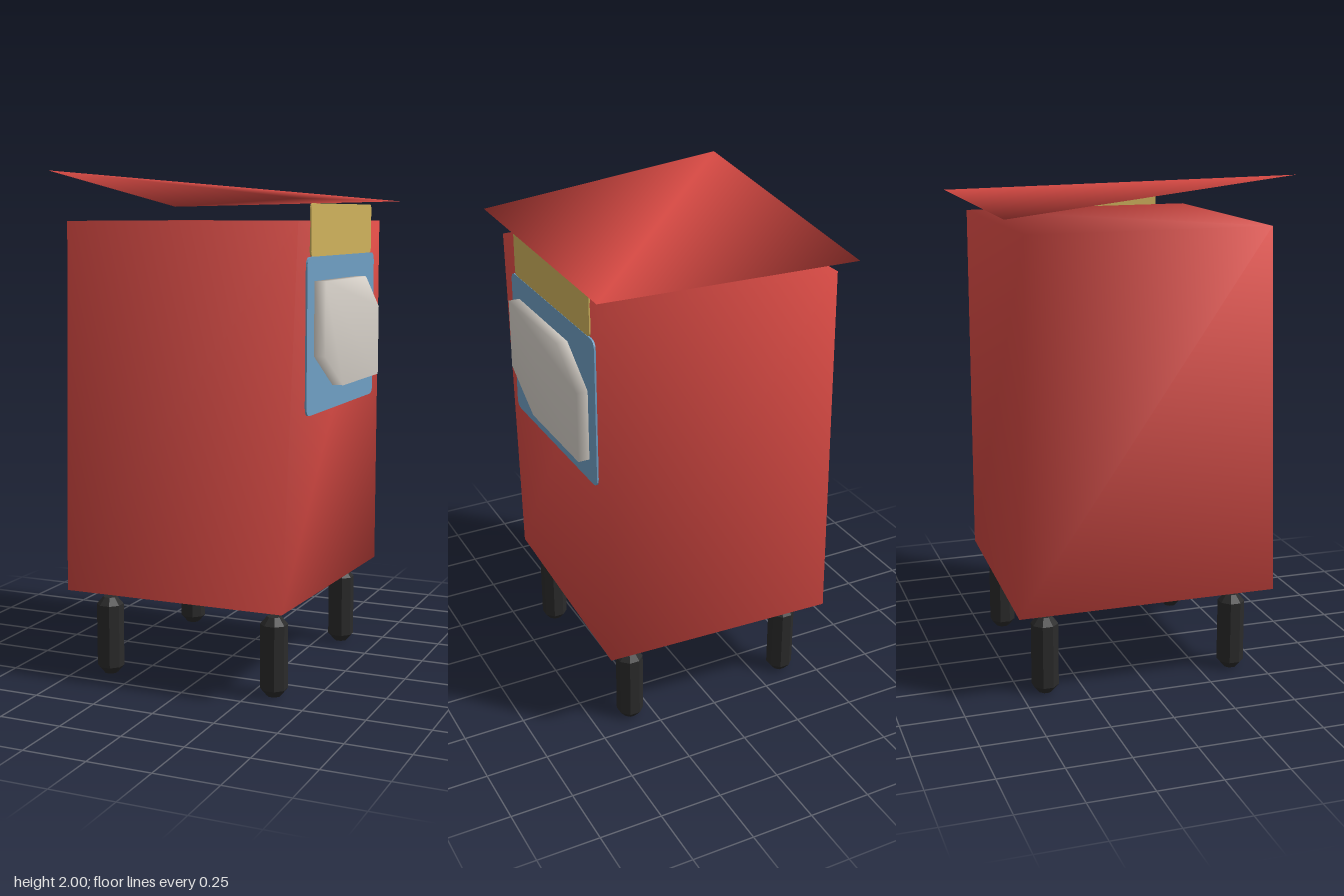
import * as THREE from 'three';

const mat = (name, color) => {
  const m = new THREE.MeshStandardMaterial({ color });
  m.name = name;
  return m;
};

// Indexed solid with shared corners, so the shading rolls softly over its edges
function softSolid(points, faces) {
  const g = new THREE.BufferGeometry();
  g.setAttribute('position', new THREE.Float32BufferAttribute(points.flat(), 3));
  g.setIndex(faces.flat());
  g.computeVertexNormals();
  return g;
}

// Closed solid between two matching loops, counter-clockwise seen from the end loop
function loft(start, end) {
  const n = start.length, faces = [];
  for (let i = 0; i < n; i++) {
    const j = (i + 1) % n;
    faces.push([i, j, n + j], [i, n + j, n + i]);
    if (i > 0 && i < n - 1) faces.push([0, i + 1, i], [n, n + i, n + i + 1]);
  }
  return softSolid([...start, ...end], faces);
}

// Thin rounded plate facing +x
function plate(zMin, zMax, yMin, yMax, r, x, depth) {
  const s = new THREE.Shape();
  const a = -zMax, b = -zMin;
  s.moveTo(a + r, yMin);
  s.lineTo(b - r, yMin);
  s.quadraticCurveTo(b, yMin, b, yMin + r);
  s.lineTo(b, yMax - r);
  s.quadraticCurveTo(b, yMax, b - r, yMax);
  s.lineTo(a + r, yMax);
  s.quadraticCurveTo(a, yMax, a, yMax - r);
  s.lineTo(a, yMin + r);
  s.quadraticCurveTo(a, yMin, a + r, yMin);
  const g = new THREE.ExtrudeGeometry(s, { depth, bevelEnabled: false, curveSegments: 4 });
  return g.rotateY(Math.PI / 2).translate(x, 0, 0);
}

export function createModel() {
  const model = new THREE.Group();
  const red = mat('red', 0xd94a44);
  const blue = mat('blue', 0x6f9fc4);
  const gold = mat('gold', 0xd0b25c);
  const grey = mat('pale grey', 0xd8d2ca);
  const black = mat('black', 0x2a2a2a);
  const add = (name, geometry, material) => {
    const mesh = new THREE.Mesh(geometry, material);
    mesh.name = name;
    model.add(mesh);
    return mesh;
  };

  // Slightly tapered cabinet
  add('body', loft(
    [[-0.49, 0.36, 0.515], [0.42, 0.36, 0.51], [0.46, 0.36, -0.49], [-0.49, 0.36, -0.53]],
    [[-0.49, 1.81, 0.47], [0.46, 1.81, 0.47], [0.46, 1.81, -0.49], [-0.49, 1.81, -0.49]]
  ), red);

  // Warped wedge roof with one raised corner
  add('roof', softSolid(
    [[-0.53, 2.0, 0.54], [0.5, 1.89, 0.565], [0.525, 1.89, -0.57], [-0.53, 1.87, -0.57]],
    [[0, 1, 2], [0, 2, 3], [1, 0, 3], [1, 3, 2]]
  ), red);

  // Window panel and header board on the +x side
  add('windowPanel', plate(-0.405, 0.385, 1.09, 1.68, 0.035, 0.458, 0.007), blue);
  add('headerBoard', plate(-0.365, 0.345, 1.68, 1.875, 0.02, 0.458, 0.006), gold);

  // Faceted slab on the window panel
  const outline = [[0.31, 1.59], [0.31, 1.31], [0.1, 1.18], [-0.34, 1.18], [-0.34, 1.46], [-0.165, 1.59]];
  add('windowSlab', loft(
    outline.map(([z, y]) => [0.46, y, z]),
    outline.map(([z, y]) => [0.51, y, z])
  ), grey);

  // Four chamfered posts standing clear of the cabinet
  const profile = [[0, 0], [0.028, 0], [0.054, 0.03], [0.054, 0.285], [0.028, 0.315], [0, 0.315]]
    .map(([r, y]) => new THREE.Vector2(r, y));
  const leg = new THREE.LatheGeometry(profile, 8, Math.PI / 8).toNonIndexed();
  leg.computeVertexNormals();
  for (const x of [-0.37, 0.34])
    for (const z of [-0.4, 0.385])
      add(`${z > 0 ? 'front' : 'back'}${x > 0 ? 'Left' : 'Right'}Leg`, leg, black).position.set(x, 0, z);

  return model;
}
